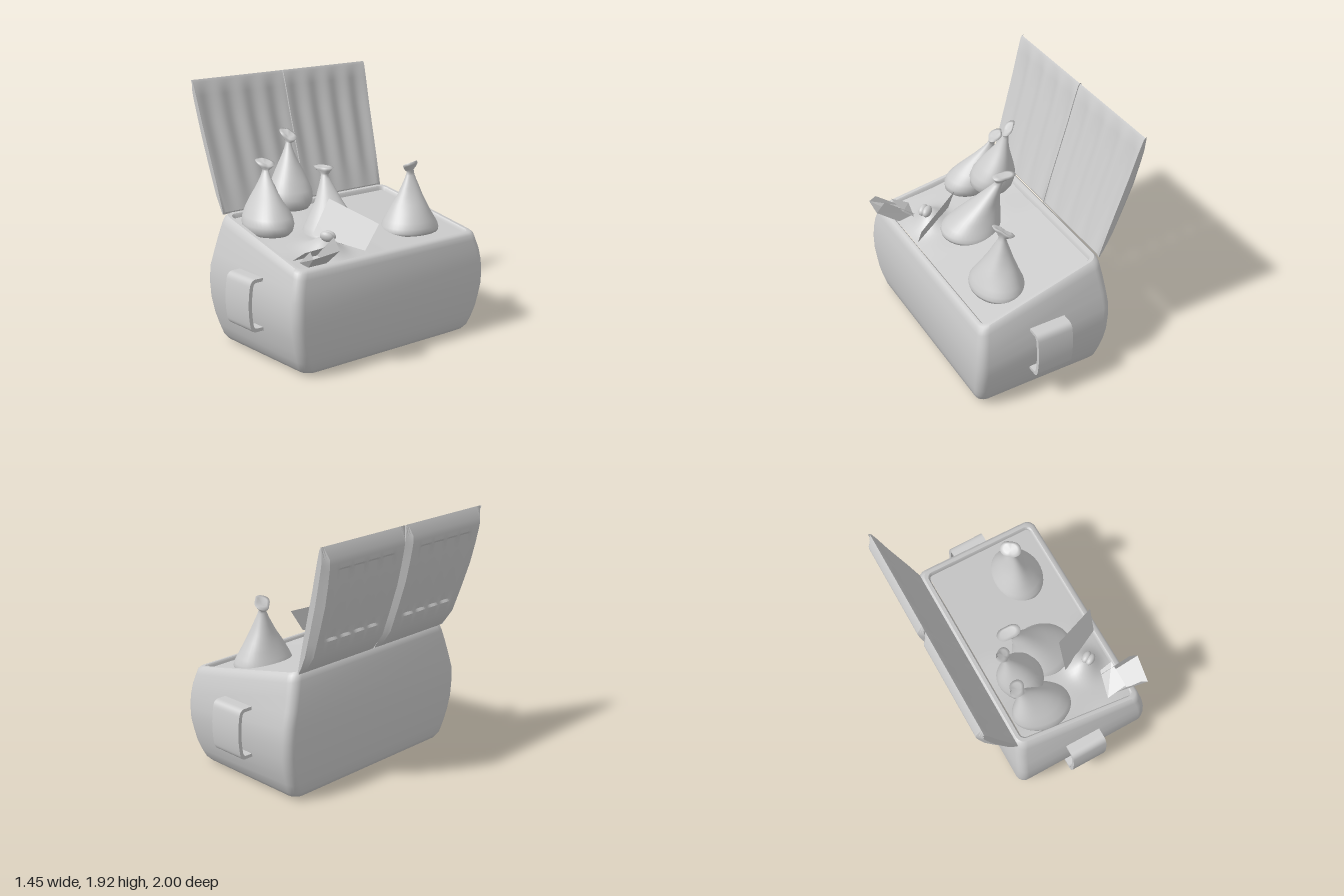
import * as THREE from 'three';
import { mergeVertices, toCreasedNormals } from 'three/addons/utils/BufferGeometryUtils.js';

const grey = new THREE.MeshStandardMaterial({ color: 0xcccccc });
grey.name = 'plain grey';
const greySheet = grey.clone();
greySheet.side = THREE.DoubleSide;

const lerp = THREE.MathUtils.lerp;
const topY = (x) => 0.97 - 0.205 * (x + 0.4); // sloping rim height

function mesh(name, geometry, material = grey) {
  const m = new THREE.Mesh(geometry, material);
  m.name = name;
  return m;
}

// Skin a list of closed rings that share the same point count
function loft(rings, crease = 0.7) {
  const n = rings[0].length, index = [];
  for (let i = 0; i < rings.length - 1; i++) {
    for (let j = 0; j < n; j++) {
      const a = i * n + j, b = i * n + (j + 1) % n;
      index.push(a, a + n, b, b, a + n, b + n);
    }
  }
  const g = new THREE.BufferGeometry();
  g.setAttribute('position', new THREE.Float32BufferAttribute(rings.flat(2), 3));
  g.setIndex(index);
  return toCreasedNormals(g, crease);
}

// Bulging shell: height, left edge, right edge, half depth
const shell = [
  [0, -0.36, 0.56, 0.74], [0.02, -0.395, 0.595, 0.78], [0.06, -0.415, 0.615, 0.81],
  [0.2, -0.435, 0.64, 0.86], [0.4, -0.45, 0.655, 0.9], [0.6, -0.45, 0.645, 0.89],
  [0.76, -0.435, 0.61, 0.84], [0.88, -0.42, 0.6, 0.81], [0.97, -0.4, 0.6, 0.775],
];
function shellAt(y, k) {
  for (let i = 1; i < shell.length; i++) {
    const [a, b] = [shell[i - 1], shell[i]];
    if (y <= b[0]) return lerp(a[k], b[k], Math.max(0, (y - a[0]) / (b[0] - a[0])));
  }
  return shell.at(-1)[k];
}

// Rounded rectangle at level v of the shell, shrunk by inset, moved by dy
function shellRing(v, inset = 0, dy = 0) {
  const L = shellAt(v * 0.97, 1) + inset, R = shellAt(v * 0.765, 2) - inset;
  const r = Math.max(0.03, 0.07 - inset * 0.6), ring = [];
  for (let c = 0; c < 4; c++) {
    const sx = c === 0 || c === 3 ? 1 : -1, sz = c < 2 ? 1 : -1;
    for (let s = 0; s <= 6; s++) {
      const t = (c + s / 6) * Math.PI / 2;
      const x = (sx > 0 ? R - r : L + r) + r * Math.cos(t);
      const y = v * topY(x);
      const z = sz * (shellAt(y, 3) - inset - r) + r * Math.sin(t);
      ring.push([x, y + dy, z]);
    }
  }
  return ring;
}

function body() {
  const recess = shellRing(0, 0.015, 0.06);
  const rings = [recess.map(() => [0.1, 0.06, 0]), recess, shellRing(0, 0.01)];
  for (const v of [0, 0.02, 0.06, 0.14, 0.24, 0.36, 0.48, 0.6, 0.72, 0.84, 0.93, 0.98]) rings.push(shellRing(v));
  rings.push(shellRing(1, 0.014), shellRing(1, 0.04), shellRing(1, 0.05, -0.012), shellRing(1, 0.055, -0.06));
  return mesh('binBody', loft(rings));
}

// Uneven rubbish surface just below the rim, with a half buried sack
function filling() {
  const g = new THREE.PlaneGeometry(1, 1, 36, 50).rotateX(-Math.PI / 2);
  const p = g.attributes.position;
  for (let i = 0; i < p.count; i++) {
    const x = lerp(-0.345, 0.55, p.getX(i) + 0.5);
    const z = p.getZ(i) * 2 * lerp(0.725, 0.785, p.getX(i) + 0.5);
    const mound = 0.11 * Math.exp(-((x - 0.36) ** 2 + (z - 0.42) ** 2) / 0.014);
    const ripple = z > 0 ? 0.008 * Math.sin(11 * x + 3) * Math.sin(9 * z) : 0;
    p.setXYZ(i, x, topY(x) - 0.03 + mound + ripple, z);
  }
  g.computeVertexNormals();
  return mesh('rubbishSurface', g, greySheet);
}

// One fluted lid panel, curved outside and straight inside
function lidPanel(name, zA, zB) {
  const outer = [[-0.41, 0.955], [-0.46, 1], [-0.53, 1.1], [-0.565, 1.2], [-0.572, 1.22], [-0.6, 1.3], [-0.665, 1.5],
    [-0.7, 1.65], [-0.718, 1.74], [-0.722, 1.76], [-0.728, 1.8], [-0.727, 1.84], [-0.687, 1.92]];
  const inner = [[-0.675, 1.9], [-0.645, 1.8], [-0.59, 1.6], [-0.53, 1.4], [-0.47, 1.2], [-0.405, 0.97]];
  const chord = (y) => -0.405 - 0.284 * (y - 0.96) / 0.96;
  const rings = [], steps = 60;
  for (let i = 0; i <= steps; i++) {
    const s = i / steps, end = Math.min(1, 0.45 + 0.55 * Math.min(s, 1 - s) / 0.05);
    const flute = Math.sin(s * Math.PI * 4) ** 2;
    // sharp-edged scallops inside a plain border on the outer face
    const inset = s > 0.14 && s < 0.86 ? 0.006 + 0.014 * Math.abs(Math.sin((s - 0.15) / 0.7 * Math.PI * 4)) : 0;
    const zOf = (y) => lerp(zA, zB, s) * (0.93 + 0.07 * (y - 0.96) / 0.96);
    rings.push([
      ...outer.map(([x, y]) => [lerp(chord(y), x, end) + (y > 1.21 && y < 1.75 ? inset : 0), y, zOf(y)]),
      ...inner.map(([x, y], k) => [x - (k > 0 && k < 5 ? 0.018 * flute : 0), y, zOf(y)]),
    ]);
  }
  const cap = (ring) => ring.map(([, y, z]) => [chord(y) - 0.01, y, z]);
  return mesh(name, loft([cap(rings[0]), ...rings, cap(rings[steps])], 0.5));
}

// Wide bent strap handle on an end wall
function handle(name, side) {
  const s = new THREE.Shape();
  s.moveTo(0.87, 0.65);
  s.lineTo(0.935, 0.65);
  s.quadraticCurveTo(0.975, 0.65, 0.985, 0.6);
  s.quadraticCurveTo(1.012, 0.45, 0.985, 0.31);
  s.quadraticCurveTo(0.975, 0.265, 0.935, 0.265);
  s.lineTo(0.87, 0.265);
  s.lineTo(0.87, 0.29);
  s.lineTo(0.93, 0.29);
  s.quadraticCurveTo(0.955, 0.29, 0.96, 0.33);
  s.quadraticCurveTo(0.98, 0.45, 0.96, 0.58);
  s.quadraticCurveTo(0.955, 0.625, 0.93, 0.625);
  s.lineTo(0.87, 0.625);
  const g = new THREE.ExtrudeGeometry(s, { depth: 0.284, bevelEnabled: false, curveSegments: 8 });
  g.translate(0, 0, -0.142).rotateY(-side * Math.PI / 2).translate(0.092, 0, 0);
  return mesh(name, toCreasedNormals(g, 0.6));
}

// Tied sacks: a lathe profile (radius, height) leaning towards its knotted tip
const knotProfile = [[0.15, 0.83], [0.125, 0.87], [0.15, 0.9], [0.25, 0.945], [0.31, 0.985], [0.2, 0.995], [0, 0.95]];
const slumped = [[0, 0], [0.98, 0], [1, 0.04], [0.97, 0.1], [0.88, 0.18], [0.73, 0.3], [0.58, 0.42], [0.44, 0.53],
  [0.32, 0.65], [0.21, 0.76], ...knotProfile];
const plump = [[0, 0], [0.82, 0], [0.95, 0.06], [1, 0.15], [0.95, 0.25], [0.78, 0.38], [0.6, 0.5], [0.43, 0.61],
  [0.3, 0.7], [0.2, 0.78], ...knotProfile];
function sack(name, profile, [x, y, z], rx, rz, tip, phase) {
  let g = new THREE.LatheGeometry(profile.map(([r, h]) => new THREE.Vector2(r, h)), 40);
  g.deleteAttribute('uv');
  g.deleteAttribute('normal');
  const p = g.attributes.position;
  for (let i = 0; i < p.count; i++) {
    const h = p.getY(i), a = Math.atan2(p.getZ(i), p.getX(i));
    const crumple = 0.05 * Math.sin(3 * a + 5 * h + phase) * Math.sin(Math.PI * Math.min(1, h));
    const fold = 1 + crumple + (h > 0.88 ? 0.25 * Math.sin(2 * a + phase) : 0);
    const lean = Math.max(0, h - 0.1) ** 1.1 / 0.9 ** 1.1;
    const tilt = h > 0.88 ? 0.12 * p.getX(i) * Math.cos(phase) : 0;
    p.setXYZ(i,
      x + p.getX(i) * rx * fold + (tip[0] - x) * lean,
      y + h * (tip[1] - y) + tilt,
      z + p.getZ(i) * rz * fold + (tip[2] - z) * lean);
  }
  g = mergeVertices(g, 1e-4);
  g.computeVertexNormals();
  return mesh(name, g);
}

// Flat four-cornered piece of card
function card(name, ...c) {
  const g = new THREE.BufferGeometry();
  g.setAttribute('position', new THREE.Float32BufferAttribute(c.flat(), 3));
  g.setIndex([0, 1, 2, 0, 2, 3]);
  return mesh(name, toCreasedNormals(g, 0.1), greySheet);
}

export function createModel() {
  const model = new THREE.Group();
  model.name = 'rubbishBin';
  model.add(body(), filling());
  model.add(lidPanel('frontLid', 0.007, 0.822), lidPanel('rearLid', -0.81, -0.001));
  model.add(handle('frontHandle', 1), handle('rearHandle', -1));

  // Sacks: base centre, radii, tip
  model.add(
    sack('rearSack', slumped, [0.27, 0.775, -0.465], 0.197, 0.235, [0.235, 1.275, -0.495], 0),
    sack('middleSack', slumped, [0.13, 0.8, 0.175], 0.235, 0.215, [-0.1, 1.28, 0.07], 1.5),
    sack('tallSack', plump, [-0.145, 1.0, 0.355], 0.17, 0.172, [-0.255, 1.53, 0.275], 3),
    sack('frontSack', plump, [-0.095, 0.86, 0.59], 0.225, 0.17, [-0.262, 1.345, 0.485], 4),
  );

  // Knot of the half buried sack
  for (const d of [-1, 1]) {
    const knot = mesh('buriedKnot', new THREE.SphereGeometry(0.05, 16, 12));
    knot.scale.set(1.05, 0.75, 0.6);
    knot.position.set(0.39 + d * 0.008, 0.905, 0.42 + d * 0.016);
    knot.rotation.set(0.3, 0.5, -0.4);
    model.add(knot);
  }

  // Loose sheet and torn carton
  model.add(card('looseSheet', [0.215, 1.12, 0.27], [0.58, 0.98, 0.11], [0.56, 0.8, 0.22], [0.2, 0.87, 0.41]));
  const carton = new THREE.Group();
  carton.name = 'tornCarton';
  carton.add(
    card('cartonFloor', [0.55, 0.77, 0.56], [0.72, 0.9, 0.58], [0.69, 0.87, 0.785], [0.55, 0.77, 0.72]),
    card('cartonRearSide', [0.42, 0.8, 0.55], [0.65, 0.98, 0.575], [0.72, 0.9, 0.58], [0.55, 0.77, 0.56]),
    card('cartonFrontSide', [0.45, 0.78, 0.72], [0.64, 0.91, 0.77], [0.69, 0.87, 0.785], [0.55, 0.77, 0.72]),
    card('cartonFlap', [0.53, 0.88, 0.52], [0.44, 0.8, 0.52], [0.385, 0.78, 0.73], [0.53, 0.87, 0.73]),
  );
  model.add(carton);
  return model;
}
